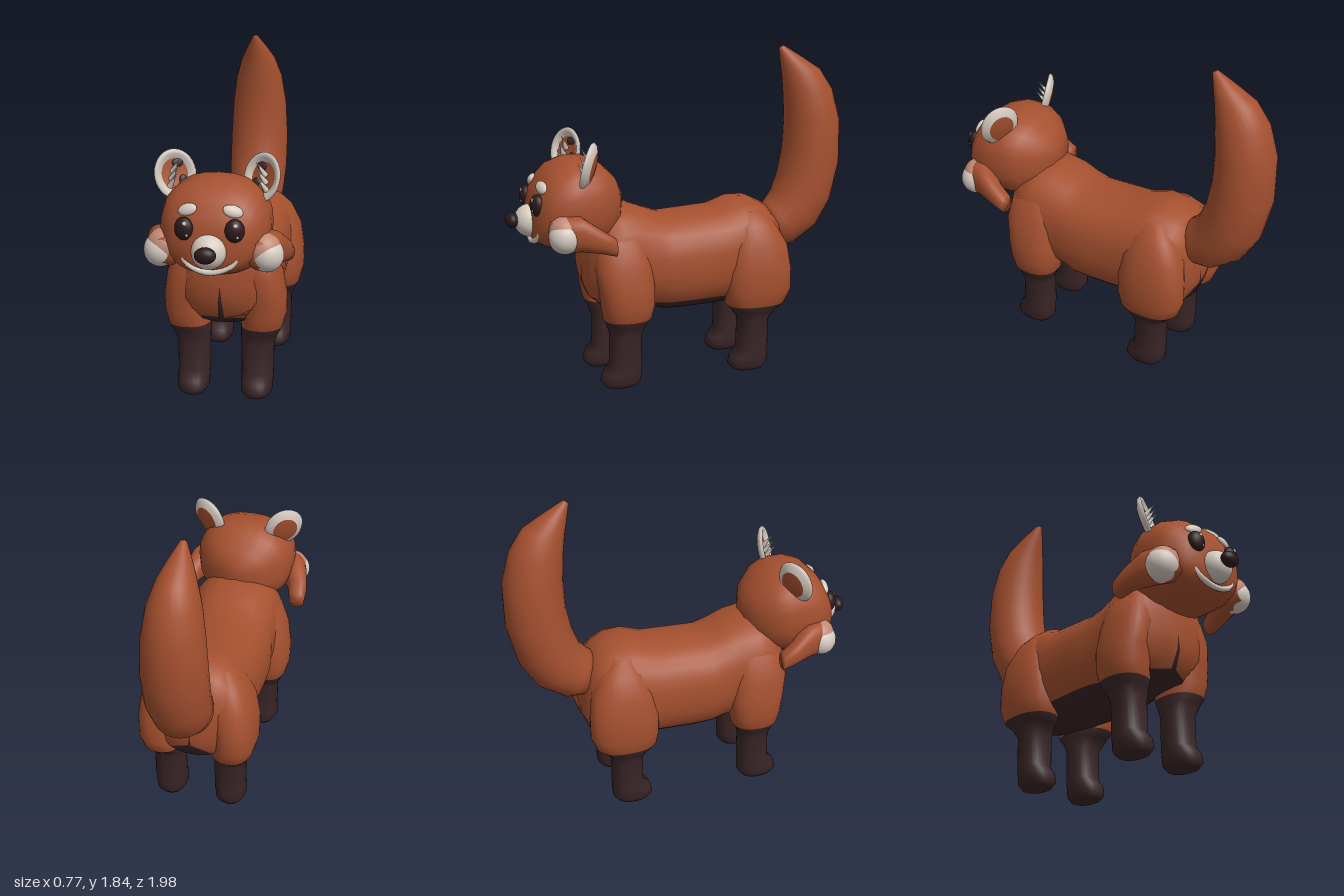
import * as THREE from 'three';

const mat = (name, color) => {
  const m = new THREE.MeshStandardMaterial({ color });
  m.name = name;
  return m;
};

export function createModel() {
  const rust = mat('rust fur', 0xa5502f);
  const dark = mat('dark brown fur', 0x3a2527);
  const cream = mat('cream fur', 0xd6cbc2);
  const blush = mat('cheek blush', 0xc08a76);
  const black = mat('eye and nose', 0x2c1a1c);
  const model = new THREE.Group();
  model.name = 'standing animal';

  const add = (name, geo, material, parent = model) => {
    const mesh = new THREE.Mesh(geo, material);
    mesh.name = name;
    parent.add(mesh);
    return mesh;
  };

  // Skins closed rings of points, with end caps; isLower(i, j) sends a face to the second material
  const loft = (name, rings, isLower = () => false) => {
    const n = rings[0].length, pos = [], upper = [], lower = [];
    rings.forEach(r => r.forEach(p => pos.push(...p)));
    const put = (i, j, ...f) => (isLower(i, j) ? lower : upper).push(...f);
    for (let i = 0; i < rings.length - 1; i++)
      for (let j = 0; j < n; j++) {
        const k = (j + 1) % n, a = i * n + j, b = i * n + k;
        put(i, j, a, b, a + n, b, b + n, a + n);
      }
    [0, rings.length - 1].forEach(i => {
      const c = pos.length / 3;
      pos.push(...[0, 1, 2].map(k => rings[i].reduce((s, p) => s + p[k], 0) / n));
      for (let j = 0; j < n; j++) {
        const a = i * n + j, b = i * n + (j + 1) % n;
        put(i, j, c, ...(i === 0 ? [b, a] : [a, b]));
      }
    });
    const geo = new THREE.BufferGeometry();
    geo.setAttribute('position', new THREE.Float32BufferAttribute(pos, 3));
    geo.setIndex([...upper, ...lower]);
    geo.addGroup(0, upper.length, 0);
    if (lower.length) geo.addGroup(upper.length, lower.length, 1);
    geo.computeVertexNormals();
    return add(name, geo, lower.length ? [rust, dark] : [rust]);
  };

  const N = 28;
  const turn = fn => Array.from({ length: N }, (_, j) => fn(j / N * Math.PI * 2));
  const soft = v => Math.sign(v) * Math.abs(v) ** 0.85;
  const zRing = ([z, cx, cy, rx, ry]) =>
    turn(a => [cx + rx * soft(Math.cos(a)), cy + ry * soft(Math.sin(a)), z]);
  const yRing = ([y, cx, cz, rx, rz]) =>
    turn(a => [cx + rx * soft(Math.cos(a)), y, cz - rz * soft(Math.sin(a))]);

  const ball = (name, material, [x, y, z], [rx, ry, rz], rot = [0, 0, 0], parent = model) => {
    const m = add(name, new THREE.SphereGeometry(1, 28, 20), material, parent);
    m.position.set(x, y, z);
    m.scale.set(rx, ry, rz);
    m.rotation.set(...rot);
    return m;
  };

  // Body: z, half width, top, bottom; the belly below the cut line is dark
  const body = [
    [-0.595, 0.1, 0.76, 0.52], [-0.56, 0.2, 0.87, 0.43], [-0.5, 0.25, 0.94, 0.4],
    [-0.42, 0.27, 0.98, 0.39], [-0.32, 0.28, 0.985, 0.385], [-0.2, 0.275, 0.945, 0.38],
    [0, 0.28, 0.935, 0.375], [0.12, 0.28, 0.93, 0.38], [0.2, 0.265, 0.96, 0.395],
    [0.3, 0.27, 1.0, 0.41], [0.4, 0.275, 1.015, 0.42], [0.48, 0.27, 1.0, 0.43],
    [0.54, 0.22, 0.95, 0.48], [0.58, 0.13, 0.86, 0.58]];
  const UP = 20;
  loft('body', body.map(([z, hw, top, bot]) => {
    const cy = (top + bot) / 2, ry = (top - bot) / 2;
    const s = Math.max(-0.999, (0.46 - cy) / ry);
    const cut = Math.asin(-(Math.abs(s) ** (1 / 0.85)));
    return Array.from({ length: UP + 12 }, (_, j) => {
      const a = j < UP ? cut + (Math.PI - 2 * cut) * j / UP
        : Math.PI - cut + (Math.PI + 2 * cut) * (j - UP) / 12;
      return [hw * soft(Math.cos(a)), cy + ry * soft(Math.sin(a)), z];
    });
  }), (i, j) => j >= UP);

  // Legs: dark paw and shin, then the rust shoulder or thigh
  const shin = [[0, 0.065, 0.03, 0.09], [0.03, 0.085, 0.03, 0.115], [0.08, 0.088, 0.022, 0.11],
    [0.125, 0.088, 0.002, 0.09], [0.3, 0.09, 0, 0.088]];
  const shoulder = [[0.36, 0.19, 0.382, 0.105, 0.11], [0.4, 0.2, 0.38, 0.115, 0.135],
    [0.47, 0.213, 0.38, 0.12, 0.148], [0.57, 0.215, 0.385, 0.12, 0.155],
    [0.7, 0.2, 0.4, 0.113, 0.16], [0.83, 0.17, 0.4, 0.1, 0.14], [0.93, 0.13, 0.39, 0.06, 0.07]];
  const thigh = [[0.36, 0.19, -0.385, 0.105, 0.13], [0.4, 0.2, -0.39, 0.115, 0.175],
    [0.48, 0.215, -0.4, 0.12, 0.195], [0.6, 0.215, -0.4, 0.12, 0.195],
    [0.74, 0.195, -0.4, 0.12, 0.175], [0.86, 0.16, -0.39, 0.1, 0.12], [0.93, 0.13, -0.38, 0.06, 0.06]];
  for (const side of [1, -1])
    for (const [name, z0, top] of [['frontLeg', 0.385, shoulder], ['backLeg', -0.385, thigh]])
      loft(name, [...shin.map(([y, rx, dz, rz]) => [y, side * 0.177, z0 + dz, rx, rz]),
        ...top.map(([y, cx, ...r]) => [y, side * cx, ...r])].map(yRing), i => i < 6);

  // Tail: inner z, inner y, outer z, outer y, half width
  loft('tail', [
    [-0.5, 0.9, -0.56, 0.66, 0.12], [-0.545, 0.93, -0.7, 0.675, 0.148], [-0.59, 0.99, -0.84, 0.77, 0.166],
    [-0.63, 1.1, -0.93, 0.92, 0.175], [-0.655, 1.24, -0.985, 1.15, 0.175],
    [-0.66, 1.4, -0.985, 1.4, 0.163], [-0.65, 1.55, -0.935, 1.58, 0.138],
    [-0.635, 1.66, -0.86, 1.695, 0.1], [-0.62, 1.74, -0.75, 1.765, 0.06], [-0.605, 1.82, -0.635, 1.835, 0.015],
  ].map(([iz, iy, oz, oy, w]) => turn(a => {
    const s = Math.sin(a) / 2;
    return [w * Math.cos(a), (iy + oy) / 2 + s * (oy - iy), (iz + oz) / 2 + s * (oz - iz)];
  })));

  // Head: z, half width, top, bottom
  loft('head', [
    [0.36, 0.06, 1.1, 0.95], [0.4, 0.17, 1.17, 0.88], [0.48, 0.25, 1.25, 0.81],
    [0.56, 0.282, 1.285, 0.785], [0.66, 0.285, 1.285, 0.785], [0.74, 0.275, 1.255, 0.79],
    [0.8, 0.24, 1.2, 0.81], [0.845, 0.19, 1.13, 0.835], [0.87, 0.1, 1.06, 0.87],
  ].map(([z, hw, t, b]) => zRing([z, 0, (t + b) / 2, hw, (t - b) / 2])));

  // Muzzle, nose and smile
  ball('muzzle', cream, [0, 0.95, 0.865], [0.09, 0.09, 0.085]);
  ball('nose', black, [0, 0.96, 0.962], [0.055, 0.042, 0.037]);
  const smile = new THREE.CatmullRomCurve3([[-0.15, 0.925, 0.835], [-0.1, 0.868, 0.85], [0, 0.838, 0.858],
    [0.1, 0.868, 0.85], [0.15, 0.925, 0.835]].map(p => new THREE.Vector3(...p)));
  add('smile', new THREE.TubeGeometry(smile, 32, 0.016, 8), cream);

  const lathe = pts => new THREE.LatheGeometry(pts.map(p => new THREE.Vector2(...p)), 32);
  for (const s of [1, -1]) {
    // Cheek with a backswept tuft of fur
    loft('cheekTuft', [[0.485, 0.34, 0.85, 0.045, 0.05], [0.56, 0.33, 0.885, 0.055, 0.065],
      [0.66, 0.285, 0.925, 0.078, 0.095], [0.75, 0.25, 0.925, 0.085, 0.1], [0.81, 0.24, 0.925, 0.055, 0.065],
    ].map(([z, x, ...r]) => zRing([z, s * x, ...r])));
    ball('cheekBlush', blush, [s * 0.258, 0.935, 0.74], [0.09, 0.09, 0.083]);
    ball('cheekPatch', cream, [s * 0.275, 0.912, 0.742], [0.087, 0.09, 0.087]);

    // Eye, glints and brow
    ball('eye', black, [s * 0.128, 1.06, 0.85], [0.05, 0.06, 0.038], [0, s * 0.25, 0]);
    ball('eyeGlint', cream, [s * 0.128 + 0.008, 1.092, 0.879], [0.012, 0.012, 0.006]);
    ball('smallEyeGlint', cream, [s * 0.128 + 0.02, 1.035, 0.883], [0.007, 0.007, 0.005]);
    ball('brow', cream, [s * 0.115, 1.152, 0.822], [0.052, 0.032, 0.02], [-0.5, s * 0.3, s * -0.15]);

    // Cupped ear: cream rim with rust inside and on the back
    const ear = new THREE.Group();
    ear.name = 'ear';
    ear.position.set(s * 0.23, 1.27, 0.585);
    ear.rotation.set(-0.25, s * -0.5, s * -0.1, 'YXZ');
    model.add(ear);
    const cup = new THREE.Group();
    cup.name = 'earCup';
    cup.rotation.x = Math.PI / 2;
    cup.scale.set(0.9, 1, 1.04);
    ear.add(cup);
    add('earBack', lathe([[0, -0.03], [0.045, -0.027], [0.08, -0.02]]), rust, cup);
    add('earRim', lathe([[0.08, -0.02], [0.115, -0.005], [0.126, 0.012], [0.118, 0.022],
      [0.1, 0.018], [0.078, 0]]), cream, cup);
    add('earInside', lathe([[0.078, 0], [0.04, -0.006], [0, -0.008]]), rust, cup);

    // Dark patches and pale hairs in the ear
    ball('earPatch', dark, [s * -0.025, 0.055, 0], [0.03, 0.022, 0.008], [0, 0, 0], ear);
    ball('earPatch', dark, [s * -0.04, -0.04, 0], [0.022, 0.03, 0.008], [0, 0, 0], ear);
    for (let i = 0; i < 3; i++) {
      const hair = add('earHair', new THREE.ConeGeometry(0.016, 0.1, 8), cream, ear);
      hair.position.set(s * (-0.005 + 0.014 * i), 0.045 - 0.036 * i, 0.035);
      hair.rotation.set(0.85, 0, s * 0.3);
    }
  }
  return model;
}
